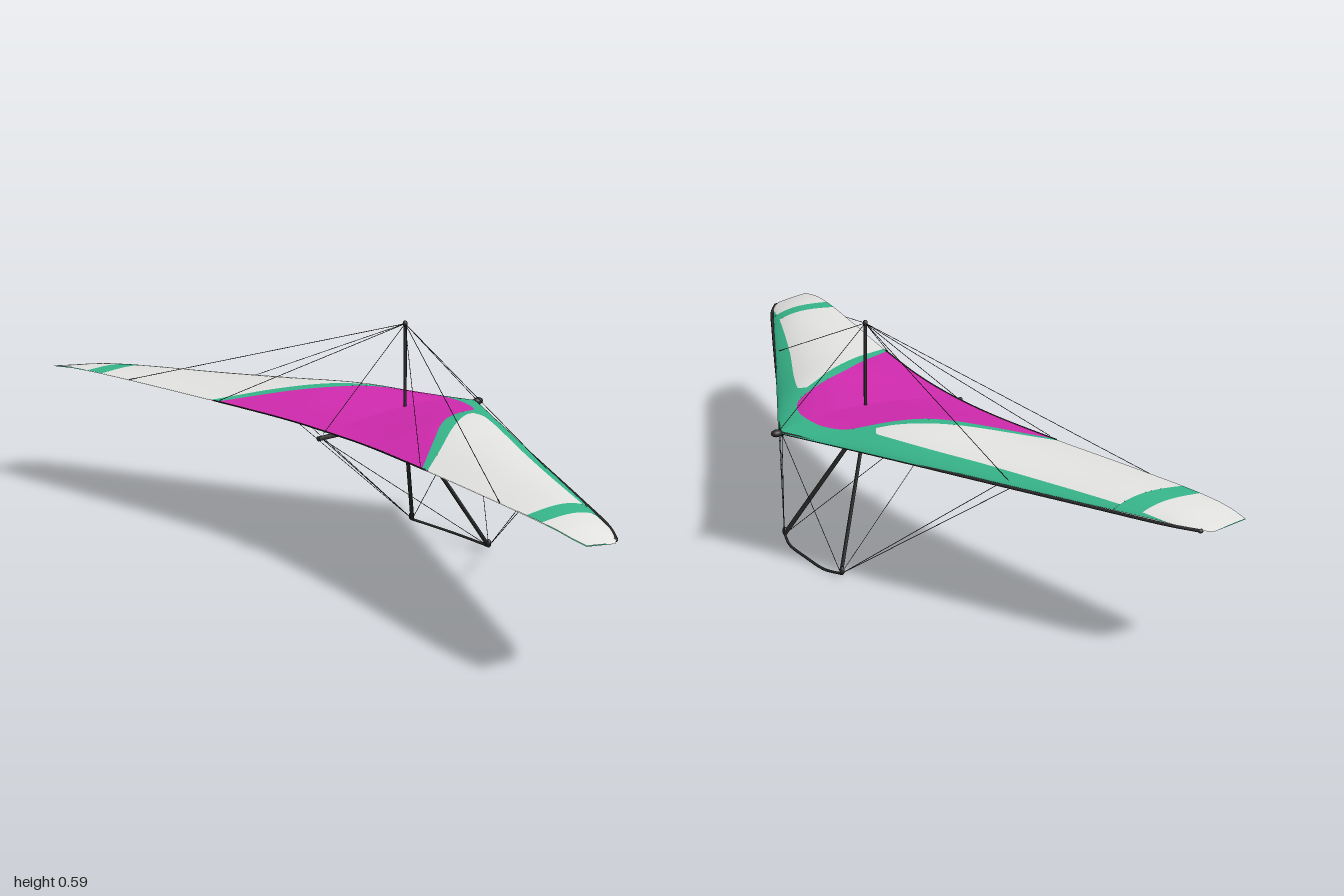
import * as THREE from 'three';

const mat = (name, color) => {
  const m = new THREE.MeshStandardMaterial({ color, side: THREE.DoubleSide });
  m.name = name;
  return m;
};

// Smooth curve z(x) or y(x) through a few [x, value] points
function curve(...p) {
  const slope = (i) => {
    const a = p[Math.max(i - 1, 0)], b = p[Math.min(i + 1, p.length - 1)];
    return (b[1] - a[1]) / (b[0] - a[0]);
  };
  return (x) => {
    if (x <= p[0][0]) return p[0][1];
    if (x >= p[p.length - 1][0]) return p[p.length - 1][1];
    let i = 0;
    while (x > p[i + 1][0]) i++;
    const d = p[i + 1][0] - p[i][0], t = (x - p[i][0]) / d, t2 = t * t, t3 = t2 * t;
    return p[i][1] * (2 * t3 - 3 * t2 + 1) + p[i + 1][1] * (3 * t2 - 2 * t3)
      + d * (slope(i) * (t3 - 2 * t2 + t) + slope(i + 1) * (t3 - t2));
  };
}

// Planform and section rules of one half wing
const lead = curve([0, -0.3], [0.3, -0.147], [0.6, 0.006], [0.94, 0.18], [0.98, 0.207], [1, 0.23]);
const trail = curve([0, 0.19], [0.1, 0.192], [0.2, 0.2], [0.4, 0.228], [0.65, 0.27], [0.85, 0.303], [0.95, 0.315], [1, 0.315]);
const leadY = curve([0, 0.34], [0.5, 0.337], [0.9, 0.3345], [1, 0.329]);
const trailY = curve([0, 0.349], [0.3, 0.351], [0.7, 0.356], [0.9, 0.354], [1, 0.343]);
const camber = curve([0, 0.026], [0.1, 0.035], [0.22, 0.044], [0.4, 0.034], [0.6, 0.023], [0.85, 0.013], [1, 0.001]);
const sag = curve([0, 0.026], [0.15, 0.015], [0.35, 0.004], [0.9, 0.002], [1, 0]);
const hollow = curve([0, 3], [0.85, 3], [1, 1]);
const LOWER_END = 0.8;
const lowerEnd = (x) => lead(x) + LOWER_END * (trail(x) - lead(x));
const chordT = (x, z) => THREE.MathUtils.clamp((z - lead(x)) / (trail(x) - lead(x)), 0, 1);

const upperAt = (x, t) => THREE.MathUtils.lerp(leadY(x), trailY(x), t) + camber(x) * Math.sin(Math.PI * t ** 0.75);
const upper = (x, z) => upperAt(x, chordT(x, z));
// The lower cloth meets the upper one at LOWER_END and follows it from there
const lower = (x, z) => {
  const t = chordT(x, z), q = t / LOWER_END;
  if (q >= 1) return upperAt(x, t) - 0.002;
  return THREE.MathUtils.lerp(leadY(x), upperAt(x, LOWER_END) - 0.002, q ** hollow(x)) - sag(x) * Math.sin(Math.PI * q ** 0.8);
};

// Cloth panel between two chordwise edges, for x from xa to xb on one side
function panel(height, facing, side, xa, xb, front, back) {
  const cols = Math.max(4, Math.round((xb - xa) / 0.008)), rows = 14;
  const pos = [], nor = [], idx = [], n = new THREE.Vector3(), e = 0.004;
  for (let i = 0; i <= cols; i++) {
    const x = xa + (xb - xa) * i / cols;
    const z0 = Math.min(Math.max(front(x), lead(x)), trail(x));
    const z1 = Math.min(Math.max(back(x), z0), trail(x));
    for (let j = 0; j <= rows; j++) {
      const z = z0 + (z1 - z0) * j / rows;
      const x0 = Math.max(x - e, 0), x1 = Math.min(x + e, 1);
      const za = Math.max(z - e, lead(x)), zb = Math.min(z + e, trail(x));
      const t = chordT(x, z);
      const zOn = (u) => lead(u) + t * (trail(u) - lead(u));
      // tangents along the span (constant chord fraction) and along the chord
      const span = new THREE.Vector3(x1 - x0, height(x1, zOn(x1)) - height(x0, zOn(x0)), zOn(x1) - zOn(x0));
      const chord = new THREE.Vector3(0, height(x, zb) - height(x, za), zb - za);
      n.crossVectors(chord, span).normalize().multiplyScalar(facing);
      pos.push(side * x, height(x, z), z);
      nor.push(side * n.x, n.y, n.z);
    }
  }
  for (let i = 0; i < cols; i++) for (let j = 0; j < rows; j++) {
    const a = i * (rows + 1) + j, b = a + 1, c = a + rows + 1, d = c + 1;
    if (side * facing > 0) idx.push(a, b, c, b, d, c);
    else idx.push(a, c, b, b, c, d);
  }
  const g = new THREE.BufferGeometry();
  g.setAttribute('position', new THREE.Float32BufferAttribute(pos, 3));
  g.setAttribute('normal', new THREE.Float32BufferAttribute(nor, 3));
  g.setIndex(idx);
  return g;
}

export function createModel() {
  const model = new THREE.Group();
  model.name = 'hangGlider';
  const white = mat('whiteCloth', 0xe4e4e2), green = mat('greenCloth', 0x37b68b);
  const magenta = mat('magentaCloth', 0xd02aae), dark = mat('darkFrame', 0x2b2b2b);

  const add = (name, geometry, material) => {
    const m = new THREE.Mesh(geometry, material);
    m.name = name;
    model.add(m);
    return m;
  };
  const rod = (name, a, b, r, sides = 10, flat = 1) => {
    const p = new THREE.Vector3(...a), q = new THREE.Vector3(...b);
    const m = add(name, new THREE.CylinderGeometry(r, r, p.distanceTo(q), sides), dark);
    m.position.copy(p).lerp(q, 0.5);
    m.scale.x = flat;
    m.quaternion.setFromUnitVectors(new THREE.Vector3(0, 1, 0), q.sub(p).normalize());
  };
  const wire = (name, a, b) => rod(name, a, b, 0.0008, 6);
  const knob = (name, p, sx, sy, sz) => {
    const m = add(name, new THREE.SphereGeometry(1, 16, 12), dark);
    m.position.set(...p);
    m.scale.set(sx, sy, sz);
  };
  const tube = (name, pts, r) =>
    add(name, new THREE.TubeGeometry(new THREE.CatmullRomCurve3(pts.map((p) => new THREE.Vector3(...p))), 48, r, 8), dark);

  // Edges of the coloured areas on the upper cloth
  const heart = curve([0, -0.22], [0.05, -0.215], [0.1, -0.195], [0.13, -0.168], [0.163, -0.1], [0.207, -0.005], [0.29, 0.103], [0.388, 0.226]);
  const bandBack = curve([0.172, -0.13], [0.19, -0.093], [0.27, 0.028], [0.34, 0.125], [0.41, 0.23]);
  const bandWidth = curve([0.172, 0.082], [0.2, 0.057], [0.5, 0.042], [0.8, 0.018], [0.92, 0]);
  const bandFront = (x) => lead(x) + bandWidth(x);

  for (const s of [1, -1]) {
    const top = (name, m, xa, xb, f, b) => add(name, panel(upper, 1, s, xa, xb, f, b), m);
    top('noseBand', green, 0, 0.172, lead, heart);
    top('leadingBand', green, 0.172, 0.8, lead, bandFront);
    top('innerBand', green, 0.172, 0.388, bandBack, heart);
    top('innerBandEnd', green, 0.388, 0.41, bandBack, trail);
    top('centreCloth', magenta, 0, 0.388, heart, trail);
    top('innerSail', white, 0.172, 0.41, bandFront, bandBack);
    top('outerSail', white, 0.41, 0.8, bandFront, trail);
    top('tipStripe', green, 0.8, 0.855, lead, trail);
    top('tipSail', white, 0.855, 1, bandFront, trail);
    top('tipLeadingBand', green, 0.855, 0.92, lead, bandFront);

    // Lower cloth with two slanting patches, a coloured rear hem and a coloured tip
    const under = (name, m, xa, xb, f, b) => add(name, panel(lower, -1, s, xa, xb, f, b), m);
    const rear = (x) => (x < 0.41 ? lowerEnd(x) : trail(x));
    const patch = (xa, xb, z, slope, width) => {
      const mid = (x) => z + slope * (x - xa);
      const half = (x) => width * Math.max(0, 1 - Math.abs((2 * x - xa - xb) / (xb - xa)) ** 10);
      const f = (x) => mid(x) - half(x), b = (x) => Math.min(mid(x) + half(x), lowerEnd(x));
      under('lowerSail', white, xa, xb, lead, f);
      under('lowerPatch', magenta, xa, xb, f, b);
      under('lowerSail', white, xa, xb, b, rear);
    };
    under('lowerSail', white, 0, 0.31, lead, lowerEnd);
    patch(0.31, 0.64, -0.1, 0.86, 0.042);
    patch(0.64, 0.825, 0.06, 0.95, 0.025);
    under('lowerSail', white, 0.825, 0.87, lead, trail);
    under('lowerTip', green, 0.87, 1, lead, trail);
    under('rearHem', magenta, 0, 0.41, lowerEnd, trail);

    // Leading edge tube, tucked under the cloth inboard and proud of it outboard
    const tubePoint = ([x, dy, dz]) => [s * x, leadY(x) + dy, lead(x) + dz];
    tube('leadingEdgeTube', [[0, 0, 0.006], [0.25, -0.001, 0.006], [0.5, -0.002, 0.001], [0.75, -0.003, -0.003],
      [0.92, -0.003, -0.004], [0.98, -0.001, 0]].map(tubePoint), 0.004);
    knob('tubeEnd', [s * 0.98, 0.328, 0.21], 0.005, 0.005, 0.007);

    // Control frame side
    rod('downtube', [0, 0.33, -0.06], [s * 0.145, 0.01, -0.212], 0.0068, 12, 0.55);
    knob('cornerFitting', [s * 0.146, 0.018, -0.21], 0.008, 0.011, 0.006);

    // Upper and lower side wires
    const mast = [0, 0.577, -0.06], corner = [s * 0.145, 0.01, -0.212];
    for (const end of [[s * 0.57, 0.338, -0.004], [s * 0.7, 0.356, 0.278], [s * 0.38, 0.356, 0.224]])
      wire('upperWire', mast, end);
    for (const end of [[s * 0.57, 0.335, -0.004], [s * 0.54, 0.335, -0.025], [0, 0.335, -0.29], [0, 0.332, 0.2]])
      wire('lowerWire', corner, end);
  }

  // Hem cord along the middle of the trailing edge
  tube('trailingCord', [-0.4, -0.3, -0.2, -0.1, 0, 0.1, 0.2, 0.3, 0.4].map((x) =>
    [x, trailY(Math.abs(x)), trail(Math.abs(x))]), 0.002);

  // Keel, king post, base bar and their wires
  rod('keel', [0, 0.338, -0.3], [0, 0.336, 0.215], 0.006);
  knob('noseFitting', [0, 0.34, -0.304], 0.011, 0.009, 0.015);
  rod('kingPost', [0, 0.325, -0.06], [0, 0.575, -0.06], 0.0042);
  knob('kingPostCap', [0, 0.577, -0.06], 0.006, 0.008, 0.006);
  knob('apexFitting', [0, 0.325, -0.06], 0.009, 0.013, 0.009);
  tube('baseBar', [[-0.145, 0.01, -0.211], [-0.09, 0.004, -0.226], [0, 0.0035, -0.229], [0.09, 0.004, -0.226], [0.145, 0.01, -0.211]], 0.0034);
  wire('foreWire', [0, 0.577, -0.06], [0, 0.343, -0.3]);
  wire('aftWire', [0, 0.577, -0.06], [0, 0.345, 0.2]);
  return model;
}
